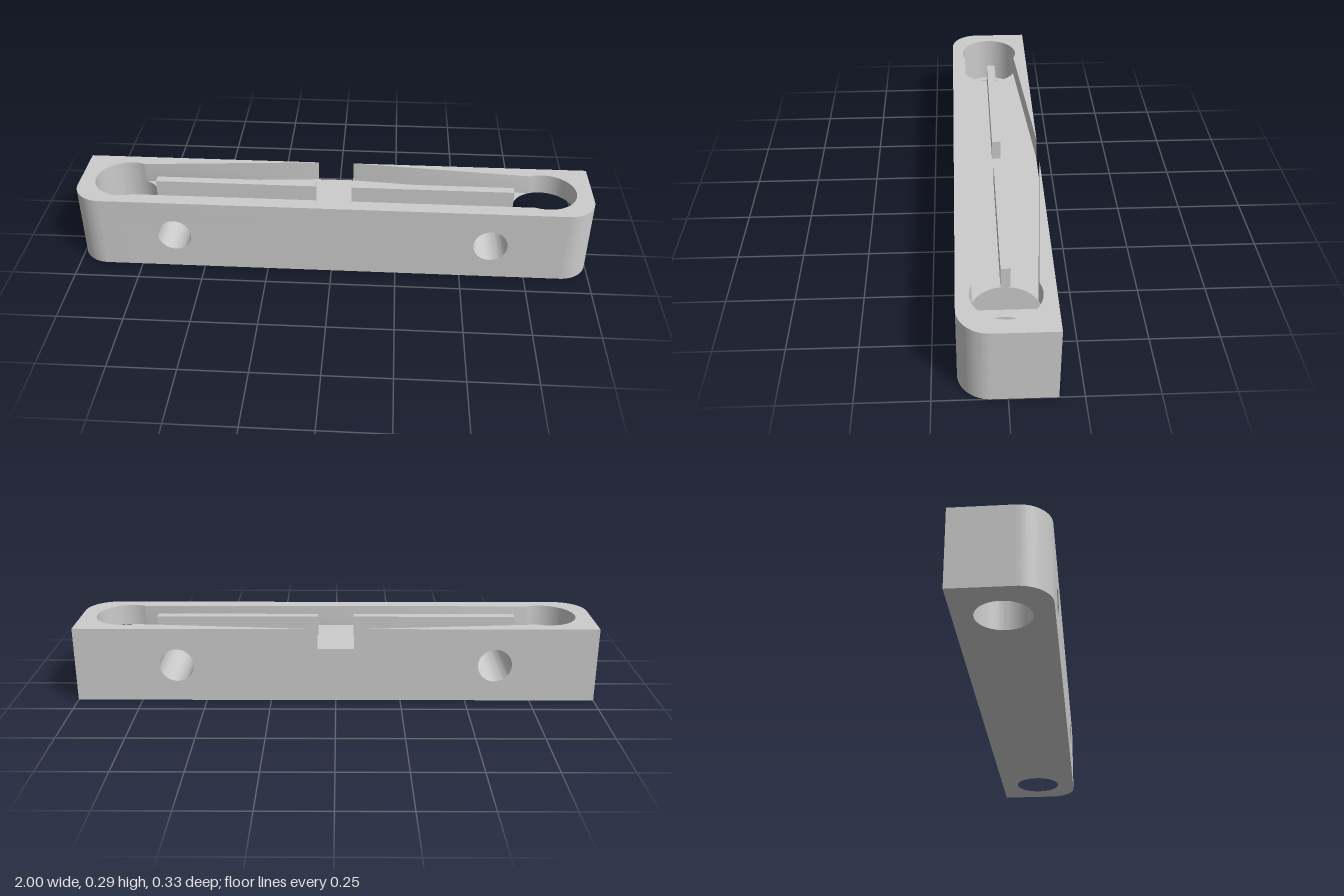
import * as THREE from 'three';
import { toCreasedNormals } from 'three/addons/utils/BufferGeometryUtils.js';

const HEIGHT = 0.293, FLOOR = 0.212, STEP = 0.1; // rim, slot floor, counterbore floor
const HALF_DEPTH = 0.165, SLOT = 0.11, CORNER = 0.11;
const BORE_X = 0.82, HEAD_R = 0.12, BORE_R = 0.095;
const SEAM = 0.69, NOTCH = 0.07;

const material = new THREE.MeshStandardMaterial({ color: 0xcccccc });
const mirror = (pts) => pts.map((p) => new THREE.Vector2(-p.x, p.y));
const reversed = (pts) => [...pts].reverse();

export function createModel() {
  const group = new THREE.Group();

  const add = (name, geometry) => {
    const mesh = new THREE.Mesh(toCreasedNormals(geometry, 0.5), material);
    mesh.name = name;
    group.add(mesh);
    return mesh;
  };

  // Plan shapes use (x, -z) and are raised from y0 to y1
  const raise = (name, shape, y0, y1) => {
    const g = new THREE.ExtrudeGeometry(shape, { depth: y1 - y0, bevelEnabled: false });
    g.rotateX(-Math.PI / 2);
    g.translate(0, y0, 0);
    add(name, g);
  };

  // Outer plan of one half: square back corner, rounded front corner
  const halfOutline = (startX) => {
    const path = new THREE.Path();
    path.moveTo(startX, HALF_DEPTH);
    path.lineTo(1, HALF_DEPTH);
    path.lineTo(1, CORNER - HALF_DEPTH);
    path.absarc(1 - CORNER, CORNER - HALF_DEPTH, CORNER, 0, -Math.PI / 2, true);
    return path.getPoints(14);
  };

  // Upper rim: long slot with round ends, open through a notch in the back
  const a = Math.PI - Math.asin(SLOT / HEAD_R);
  const slotPath = new THREE.Path();
  slotPath.moveTo(NOTCH, SLOT);
  slotPath.absarc(BORE_X, 0, HEAD_R, a, -a, true);
  const inner = slotPath.getPoints(40);
  const outer = halfOutline(NOTCH);
  const rim = new THREE.Shape([
    ...outer, ...reversed(mirror(outer)), ...mirror(inner), ...reversed(inner),
  ]);
  raise('slotRim', rim, FLOOR, HEIGHT);

  // Middle of the body, pierced front to back by two round holes
  const middle = new THREE.Shape();
  middle.moveTo(-SEAM, 0);
  middle.lineTo(SEAM, 0);
  middle.lineTo(SEAM, FLOOR);
  middle.lineTo(-SEAM, FLOOR);
  middle.closePath();
  for (const s of [-1, 1]) {
    const hole = new THREE.Path();
    hole.absarc(s * 0.61, 0.145, 0.065, 0, Math.PI * 2, true);
    middle.holes.push(hole);
  }
  const body = new THREE.ExtrudeGeometry(middle, {
    depth: 2 * HALF_DEPTH, bevelEnabled: false, curveSegments: 40,
  });
  body.translate(0, 0, -HALF_DEPTH);
  add('middleBody', body);

  // End blocks with stepped vertical bores, and the dividing walls in the slot
  const endOutline = [...halfOutline(SEAM), new THREE.Vector2(SEAM, -HALF_DEPTH)];
  for (const [s, side] of [[1, 'left'], [-1, 'right']]) {
    for (const [name, r, y0, y1] of [['EndBase', BORE_R, 0, STEP], ['EndCounterbore', HEAD_R, STEP, FLOOR]]) {
      const shape = new THREE.Shape(s > 0 ? endOutline : mirror(endOutline));
      const bore = new THREE.Path().absarc(s * BORE_X, 0, r, 0, Math.PI * 2, true);
      shape.holes.push(new THREE.Path(bore.getPoints(48)));
      raise(side + name, shape, y0, y1);
    }
    const length = BORE_X - HEAD_R - NOTCH;
    const wall = add(side + 'DividingWall', new THREE.BoxGeometry(length, HEIGHT - FLOOR, 0.034));
    wall.position.set(s * (NOTCH + length / 2), (HEIGHT + FLOOR) / 2, -0.004);
  }
  return group;
}
